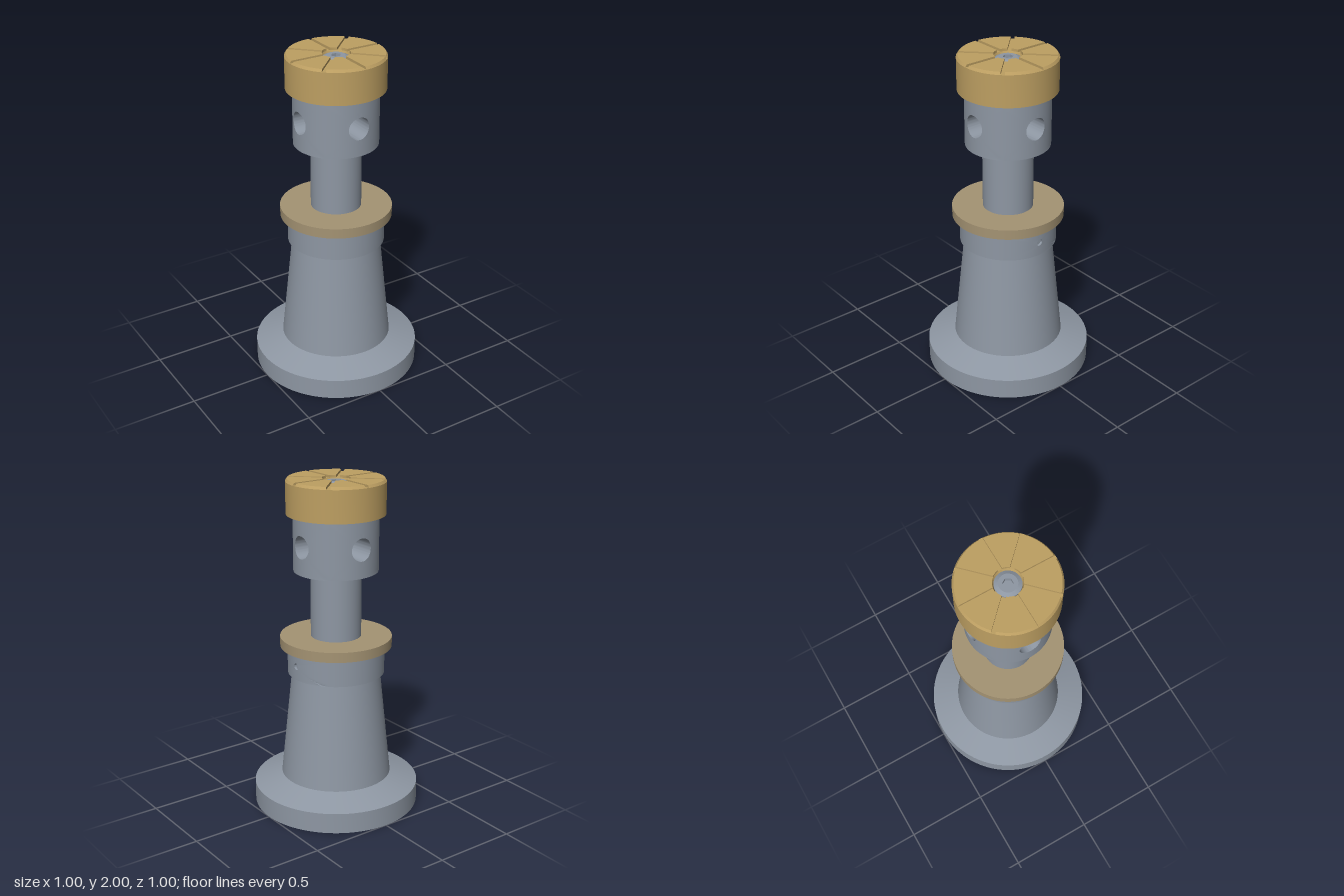
import * as THREE from 'three';
import { toCreasedNormals, mergeGeometries } from 'three/addons/utils/BufferGeometryUtils.js';

const SEG = 96;
const QUARTER = Math.PI / 4;

// Turned part; the profile keeps the solid on its left
function turned(points, seg = SEG) {
  const g = new THREE.LatheGeometry(points.map(([x, y]) => new THREE.Vector2(x, y)), seg);
  return toCreasedNormals(g, 0.25);
}

// Quarter of a cylinder wall facing +z with a drilled hole; depth(u) gives the z where the bore ends
function drilledQuarter(R, y0, y1, holeR, depth) {
  const N = 64, RINGS = 6, pos = [], index = [];
  const mid = (y0 + y1) / 2, half = (y1 - y0) / 2;
  for (let i = 0; i <= RINGS + 2; i++) {
    for (let k = 0; k <= N; k++) {
      const a = (k / N) * Math.PI * 2, c = Math.cos(a), s = Math.sin(a);
      const u = holeR * c, v = holeR * s;
      if (i > RINGS) {
        // bore: rim row, then inner row
        pos.push(u, mid + v, i === RINGS + 1 ? Math.sqrt(R * R - u * u) : depth(u));
      } else {
        // wall: blend from the hole rim to the patch border
        const m = Math.max(Math.abs(c), Math.abs(s)), t = i / RINGS;
        const th = THREE.MathUtils.lerp(Math.asin(u / R), (c / m) * QUARTER, t);
        pos.push(R * Math.sin(th), mid + THREE.MathUtils.lerp(v, (s / m) * half, t), R * Math.cos(th));
      }
    }
  }
  for (let i = 0; i <= RINGS + 1; i++) {
    if (i === RINGS) continue;
    for (let k = 0; k < N; k++) {
      const a = i * (N + 1) + k, b = a + N + 1;
      if (i < RINGS) index.push(a, b, b + 1, a, b + 1, a + 1);
      else index.push(a, a + 1, b + 1, a, b + 1, b);
    }
  }
  const g = new THREE.BufferGeometry();
  g.setAttribute('position', new THREE.Float32BufferAttribute(pos, 3));
  g.setIndex(index);
  g.computeVertexNormals();
  return toCreasedNormals(g, 0.5);
}

function circlePath(x, y, r) {
  return new THREE.Path().absarc(x, y, r, 0, Math.PI * 2, true);
}

export function createModel() {
  const model = new THREE.Group();
  model.name = 'screwJack';
  const steel = new THREE.MeshStandardMaterial({ color: 0x8e97a3 });
  steel.name = 'steel grey';
  const brass = new THREE.MeshStandardMaterial({ color: 0xbd9f62 });
  brass.name = 'brass';
  const bronze = new THREE.MeshStandardMaterial({ color: 0xa49373 });
  bronze.name = 'dull bronze';

  const add = (name, geometry, material, parent = model) => {
    const mesh = new THREE.Mesh(geometry, material);
    mesh.name = name;
    parent.add(mesh);
    return mesh;
  };

  // Base: flange, tapered body and hollow underside
  const base = new THREE.Group();
  base.name = 'base';
  model.add(base);
  add('baseBody', turned([[0.5, 0], [0.5, 0.125], [0.333, 0.185], [0.265, 0.835], [0.29, 0.835]]), steel, base);
  add('baseHollow', turned([[0, 0.45], [0.15, 0.45], [0.15, 0.237], [0.375, 0]]), steel, base);

  // Underside ring with four bolt holes
  const ring = new THREE.Shape().absarc(0, 0, 0.5, 0, Math.PI * 2);
  ring.holes.push(circlePath(0, 0, 0.375));
  for (let i = 0; i < 4; i++) {
    const a = QUARTER + i * Math.PI / 2, x = 0.437 * Math.cos(a), z = 0.437 * Math.sin(a);
    ring.holes.push(circlePath(x, z, 0.04));
    add('boltHole', turned([[0, 0.1], [0.04, 0.1], [0.04, 0]], 32), steel, base).position.set(x, 0, z);
  }
  add('baseUnderside', new THREE.ShapeGeometry(ring, 48).rotateX(Math.PI / 2), steel, base);

  // Neck of the base with a set screw on the +x side
  add('neckWall', new THREE.CylinderGeometry(0.29, 0.29, 0.165, 72, 1, true, 3 * QUARTER, 6 * QUARTER)
    .translate(0, 0.9175, 0), steel, base);
  add('neckDrilledWall', drilledQuarter(0.29, 0.835, 1.0, 0.02, () => 0.275).rotateY(Math.PI / 2), steel, base);
  add('setScrew', new THREE.CircleGeometry(0.02, 32).rotateY(Math.PI / 2).translate(0.2755, 0.9175, 0), steel, base);

  // Nut flange and lifting screw
  add('nutFlange', new THREE.CylinderGeometry(0.333, 0.333, 0.06, SEG).translate(0, 1.03, 0), bronze);
  add('liftingScrew', new THREE.CylinderGeometry(0.15, 0.15, 0.42, SEG, 1, true).translate(0, 1.26, 0), steel);

  // Screw head with two crossing bar holes
  const quarters = [];
  for (let i = 0; i < 4; i++) {
    quarters.push(drilledQuarter(0.25, 1.46, 1.795, 0.067, (u) => Math.abs(u)).rotateY(i * Math.PI / 2));
  }
  add('screwHead', mergeGeometries(quarters), steel);
  add('screwHeadUnderside', new THREE.CircleGeometry(0.25, SEG).rotateX(Math.PI / 2).translate(0, 1.46, 0), steel);

  // Cap: body up to the groove floor, then eight raised pads
  const cap = new THREE.Group();
  cap.name = 'cap';
  model.add(cap);
  add('capBody', turned([[0.2, 1.795], [0.29, 1.795], [0.29, 1.985], [0.083, 1.985], [0.075, 1.965], [0.075, 1.94]]), brass, cap);

  const half = 0.012, outer = Math.asin(half / 0.29), inner = Math.asin(half / 0.083);
  const sector = new THREE.Shape();
  sector.absarc(0, 0, 0.29, outer, QUARTER - outer, false);
  sector.absarc(0, 0, 0.083, QUARTER - inner, inner, true);
  sector.closePath();
  const pad = new THREE.ExtrudeGeometry(sector, { depth: 0.015, bevelEnabled: false, curveSegments: 16 });
  // chamfer the outer top edge
  const p = pad.attributes.position;
  for (let i = 0; i < p.count; i++) {
    if (p.getZ(i) > 0.01 && Math.hypot(p.getX(i), p.getY(i)) > 0.28) {
      p.setXY(i, p.getX(i) * 0.966, p.getY(i) * 0.966);
    }
  }
  pad.computeVertexNormals();
  pad.rotateX(-Math.PI / 2).translate(0, 1.985, 0);
  for (let i = 0; i < 8; i++) add('capPad', pad, brass, cap).rotation.y = i * QUARTER;

  // Centre bolt with a hexagonal socket
  const bolt = new THREE.Group();
  bolt.name = 'centreBolt';
  model.add(bolt);
  add('boltRim', turned([[0.075, 1.94], [0.075, 1.975], [0.053, 1.985]], 64), steel, bolt);
  const face = new THREE.Shape().absarc(0, 0, 0.053, 0, Math.PI * 2);
  const hex = [];
  for (let i = 0; i < 6; i++) {
    hex.push(new THREE.Vector2(0.03 * Math.cos(i * Math.PI / 3), -0.03 * Math.sin(i * Math.PI / 3)));
  }
  face.holes.push(new THREE.Path(hex).closePath());
  add('boltFace', new THREE.ExtrudeGeometry(face, { depth: 0.03, bevelEnabled: false, curveSegments: 32 })
    .rotateX(-Math.PI / 2).translate(0, 1.955, 0), steel, bolt);
  add('socketFloor', new THREE.CircleGeometry(0.04, 24).rotateX(-Math.PI / 2).translate(0, 1.96, 0), steel, bolt);

  return model;
}
